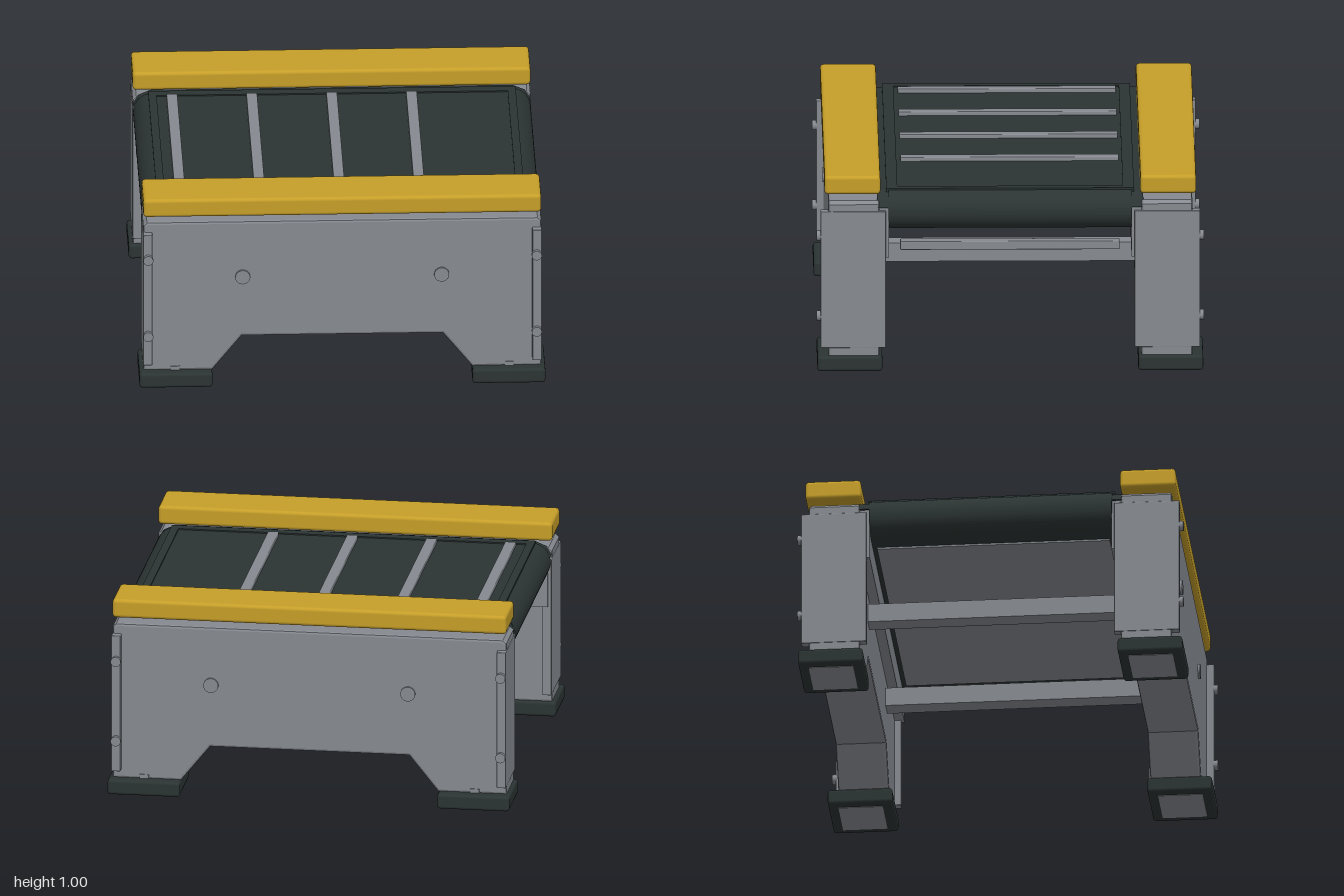
import * as THREE from 'three';
import { RoundedBoxGeometry } from 'three/addons/geometries/RoundedBoxGeometry.js';

const mat = (name, color) => Object.assign(new THREE.MeshStandardMaterial({ color }), { name });

export function createModel() {
  const grey = mat('steel grey', 0x868a90);
  const yellow = mat('safety yellow', 0xc69f29);
  const dark = mat('dark rubber', 0x2b3433);
  const root = new THREE.Group();
  root.name = 'conveyor';

  const add = (parent, name, geo, material, x = 0, y = 0, z = 0) => {
    const m = new THREE.Mesh(geo, material);
    m.name = name;
    m.position.set(x, y, z);
    parent.add(m);
    return m;
  };
  // Box given by its extents; r > 0 rounds the edges
  const box = (parent, name, material, [x0, x1], [y0, y1], [z0, z1], r = 0) => {
    const s = [x1 - x0, y1 - y0, z1 - z0];
    const geo = r ? new RoundedBoxGeometry(...s, 2, r) : new THREE.BoxGeometry(...s);
    return add(parent, name, geo, material, (x0 + x1) / 2, (y0 + y1) / 2, (z0 + z1) / 2);
  };
  const bolt = (parent, name, x, y, z, r, depth) => {
    const geo = new THREE.CylinderGeometry(r, r, depth, 20).rotateX(Math.PI / 2);
    return add(parent, name, geo, grey, x, y, z);
  };
  const shape = (points, Type = THREE.Shape) => new Type(points.map((p) => new THREE.Vector2(...p)));

  // Side wall outline with an arch between the legs
  const wallShape = shape([
    [-0.98, 0.075], [-0.64, 0.075], [-0.495, 0.255], [0.495, 0.255], [0.64, 0.075],
    [0.98, 0.075], [0.98, 0.855], [0.962, 0.872], [-0.962, 0.872], [-0.98, 0.855],
  ]);
  const bevel = 0.013;

  // One complete side: wall, end covers, feet, bolts and top rail
  const makeSide = (name) => {
    const side = new THREE.Group();
    side.name = name;
    const wallGeo = new THREE.ExtrudeGeometry(wallShape, {
      depth: 0.226, bevelEnabled: true, bevelSegments: 2,
      bevelSize: bevel, bevelThickness: bevel, bevelOffset: -bevel,
    });
    add(side, 'wall', wallGeo, grey, 0, 0, 0.658);
    box(side, 'innerLedge', grey, [-0.965, 0.965], [0.58, 0.84], [0.597, 0.66]);
    box(side, 'topRail', yellow, [-0.98, 0.98], [0.905, 1.0], [0.64, 0.915], 0.018);
    for (const s of [-1, 1]) {
      const span = (a, b) => (s > 0 ? [a, b] : [-b, -a]);
      box(side, 'endCover', grey, span(0.936, 0.982), [0.12, 0.82], [0.612, 0.935], 0.004);
      box(side, 'foot', dark, span(0.64, 1.0), [0.003, 0.08], [0.63, 0.95], 0.016);
      box(side, 'footPad', grey, span(0.69, 0.95), [0, 0.006], [0.68, 0.9]);
      box(side, 'footClip', grey, span(0.8, 0.845), [0.08, 0.1], [0.87, 0.903]);
      for (const y of [0.28, 0.69]) bolt(side, 'edgeBolt', s * 0.957, y, 0.942, 0.025, 0.024);
      bolt(side, 'wallBolt', s * 0.49, 0.575, 0.896, 0.037, 0.024);
    }
    root.add(side);
    return side;
  };
  makeSide('frontSide');
  makeSide('backSide').rotation.y = Math.PI;

  // Belt: rounded loop running across the full length
  const R = 0.1, cx = 0.88, cy = 0.81;
  const loop = new THREE.Shape();
  loop.moveTo(-cx, cy - R);
  loop.lineTo(cx, cy - R);
  loop.absarc(cx, cy, R, -Math.PI / 2, Math.PI / 2, false);
  loop.lineTo(-cx, cy + R);
  loop.absarc(-cx, cy, R, Math.PI / 2, Math.PI * 1.5, false);
  const beltGeo = new THREE.ExtrudeGeometry(loop, { depth: 1.2, bevelEnabled: false, curveSegments: 14 });
  add(root, 'belt', beltGeo, dark, 0, 0, -0.6);
  box(root, 'bottomPan', grey, [-0.8, 0.8], [0.701, 0.711], [-0.575, 0.575]);

  // Raised border around the belt bed
  const corners = (x, z) => [[-x, -z], [x, -z], [x, z], [-x, z]];
  const border = shape(corners(0.905, 0.61));
  border.holes.push(shape(corners(0.865, 0.555), THREE.Path));
  const borderGeo = new THREE.ExtrudeGeometry(border, { depth: 0.02, bevelEnabled: false }).rotateX(-Math.PI / 2);
  add(root, 'bedBorder', borderGeo, dark, 0, 0.896, 0);

  // Tapered flanges tucked beneath the rails, reaching over the roller ends
  const flange = shape([
    [-0.978, 0.838], [0.978, 0.838], [0.95, 0.878], [0.89, 0.903], [-0.89, 0.903], [-0.95, 0.878],
  ]);
  for (const z of [-0.655, 0.595]) {
    add(root, 'bedFlange', new THREE.ExtrudeGeometry(flange, { depth: 0.06, bevelEnabled: false }), dark, 0, 0, z);
  }

  // Slats on the belt, one of them on the return side
  for (const x of [-0.79, -0.397, -0.003, 0.39]) {
    box(root, 'slat', grey, [x - 0.027, x + 0.027], [0.886, 0.93], [-0.54, 0.535], 0.005);
  }
  box(root, 'returnSlat', grey, [0.757, 0.811], [0.571, 0.615], [-0.54, 0.54], 0.005);

  // Cross beams joining the two walls
  for (const x of [-0.49, 0.49]) {
    box(root, 'crossBeam', grey, [x - 0.048, x + 0.048], [0.432, 0.527], [-0.655, 0.655]);
  }
  return root;
}
